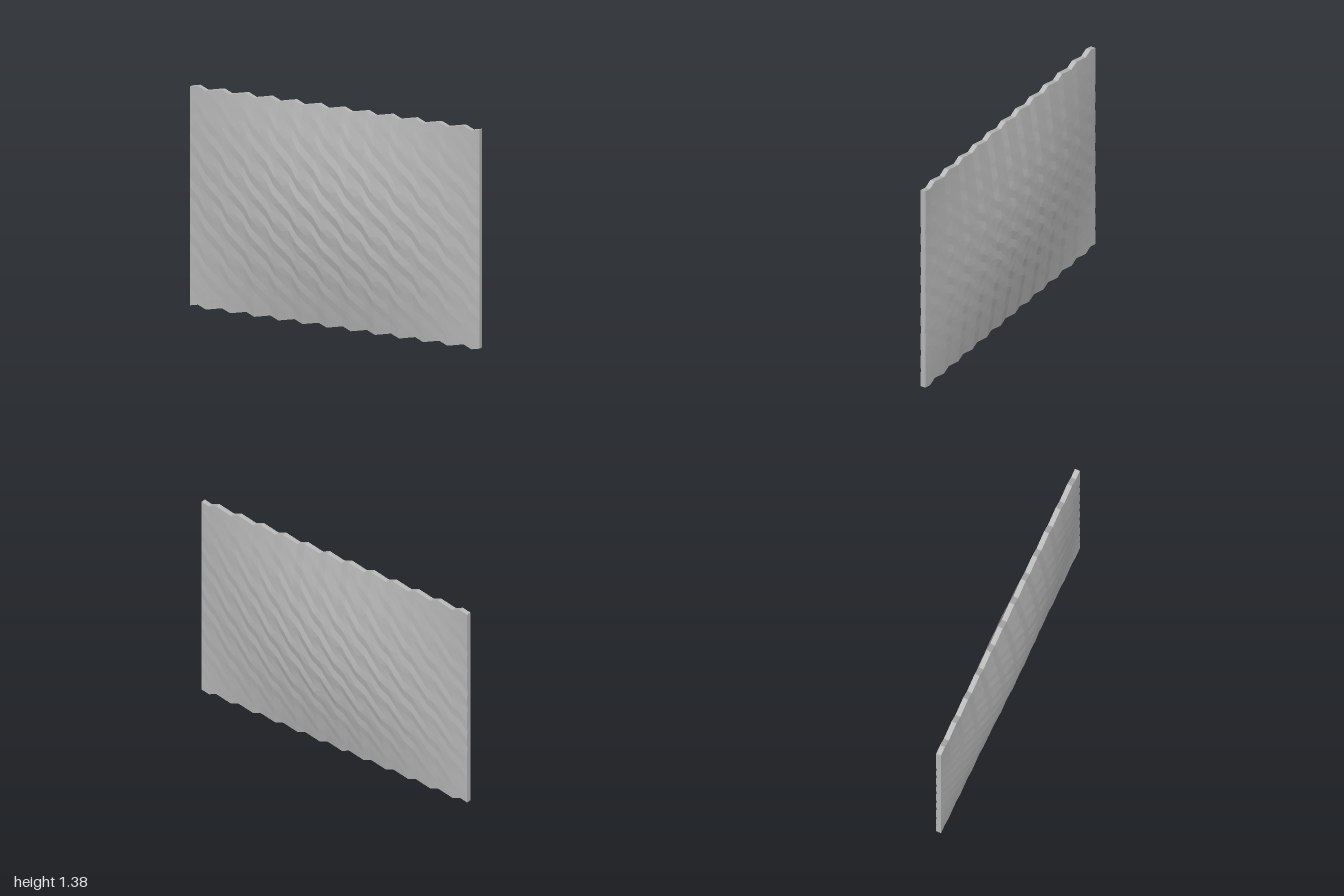
import * as THREE from 'three';

const COLS = 36, ROWS = 24;
const WIDTH = 2, HEIGHT = 1.36, BASE = 0.014;
const EDGE = 0.016, BULGE = 0.078, RIPPLE = 0.004;

// Point on one face of the padded panel; side is +1 (front) or -1 (back).
// Columns run left to right as seen by a viewer facing that side.
function facePoint(i, j, side) {
  const u = i / COLS, v = j / ROWS;
  const x = side * (u - 0.5) * WIDTH;
  const worldU = x / WIDTH + 0.5;
  const y = BASE + v * HEIGHT + 0.0135 * Math.sin(worldU * 12 * Math.PI * 2);
  const dome = Math.sin(Math.PI * u) * Math.sin(Math.PI * v);
  // diagonal ripples that fade towards the top and bottom hems
  const ripple = Math.sin(Math.PI * 2 * (12 * u + 0.405 * j)) * Math.sin(Math.PI * v);
  const fade = 0.35 + 0.65 * Math.sin(Math.PI * u);
  const z = side * (EDGE + BULGE * dome + RIPPLE * ripple * fade);
  return [x, y, z];
}

function meshFrom(name, positions, material) {
  const geometry = new THREE.BufferGeometry();
  geometry.setAttribute('position', new THREE.Float32BufferAttribute(positions, 3));
  geometry.computeVertexNormals();
  const mesh = new THREE.Mesh(geometry, material);
  mesh.name = name;
  return mesh;
}

// Two triangles, corners counter-clockwise, split from b to d
function quad(out, a, b, c, d) {
  out.push(...a, ...b, ...d, ...b, ...c, ...d);
}

function buildFace(side) {
  const out = [];
  for (let j = 0; j < ROWS; j++) {
    for (let i = 0; i < COLS; i++) {
      quad(out, facePoint(i, j, side), facePoint(i + 1, j, side),
        facePoint(i + 1, j + 1, side), facePoint(i, j + 1, side));
    }
  }
  return out;
}

// Narrow hem joining the front and back faces around the outline
function buildHem() {
  const outline = [];
  for (let i = 0; i < COLS; i++) outline.push([i, 0]);
  for (let j = 0; j < ROWS; j++) outline.push([COLS, j]);
  for (let i = COLS; i > 0; i--) outline.push([i, ROWS]);
  for (let j = ROWS; j > 0; j--) outline.push([0, j]);
  const front = ([i, j]) => facePoint(i, j, 1);
  const back = ([i, j]) => facePoint(COLS - i, j, -1);
  const out = [];
  outline.forEach((p, k) => {
    const q = outline[(k + 1) % outline.length];
    quad(out, front(p), back(p), back(q), front(q));
  });
  return out;
}

export function createModel() {
  const fabric = new THREE.MeshStandardMaterial({ color: 0xb8b8b8 });
  fabric.name = 'light grey';
  fabric.flatShading = true;

  const group = new THREE.Group();
  group.name = 'rippledPanel';
  group.add(
    meshFrom('frontFace', buildFace(1), fabric),
    meshFrom('backFace', buildFace(-1), fabric),
    meshFrom('hem', buildHem(), fabric),
  );
  return group;
}
